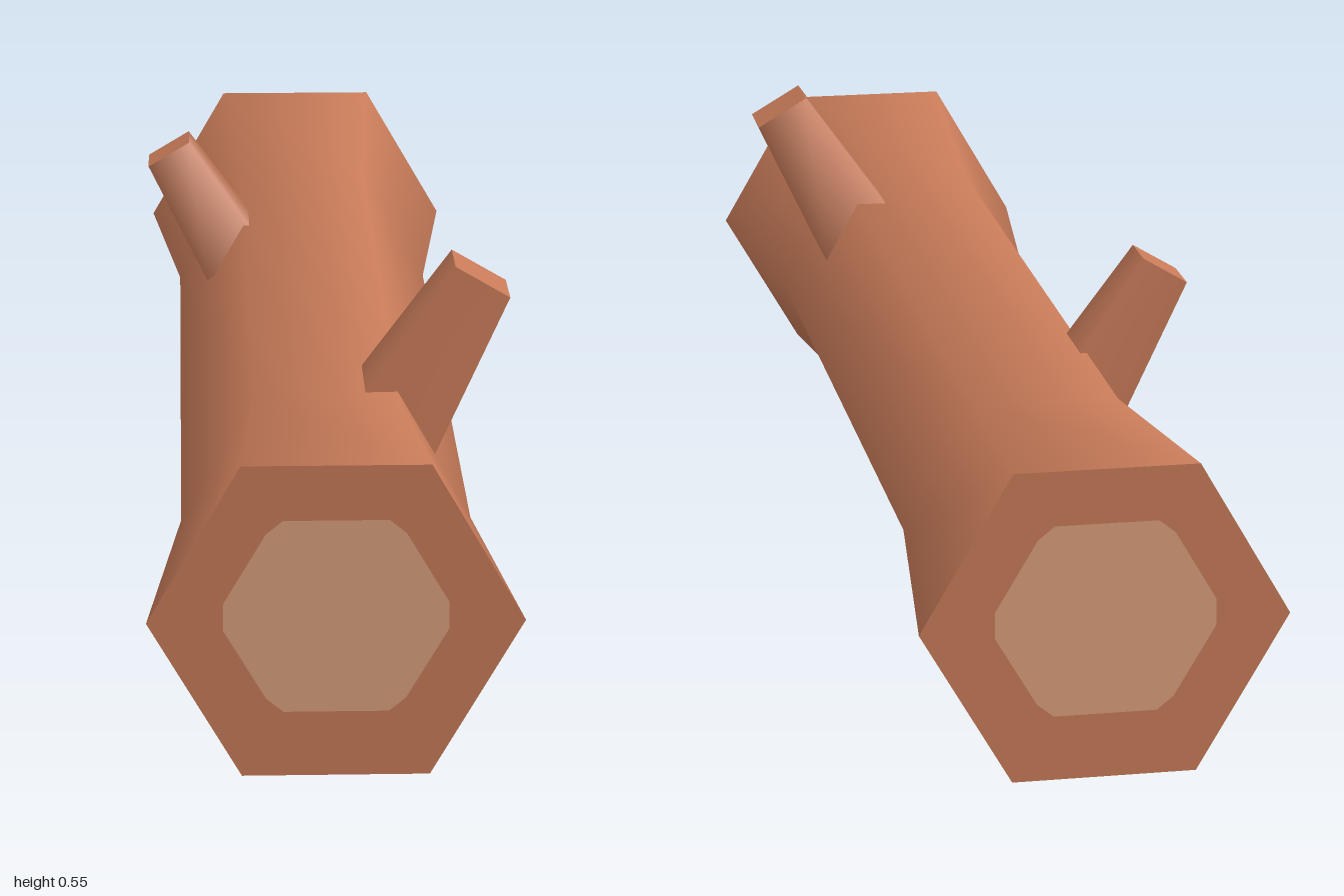
import * as THREE from 'three';

export function createModel() {
  const group = new THREE.Group();
  const bark = new THREE.MeshStandardMaterial({ color: 0xc67a58 });
  bark.name = 'bark';
  const heartwood = new THREE.MeshStandardMaterial({ color: 0xd89e7c });
  heartwood.name = 'heartwood';
  const cx = -0.005, cy = 0.212, endRadius = 0.2435, midRadius = 0.198;

  const add = (name, geometry, material, x, y, z) => {
    const mesh = new THREE.Mesh(geometry, material);
    mesh.name = name;
    mesh.position.set(x, y, z);
    group.add(mesh);
    return mesh;
  };

  // Six-sided trunk, flared towards both ends
  const profile = [[endRadius, -1], [midRadius, -0.6], [midRadius, 0.6], [endRadius, 1]]
    .map(([r, y]) => new THREE.Vector2(r, y));
  const trunk = new THREE.LatheGeometry(profile, 6, Math.PI / 2);
  trunk.rotateX(Math.PI / 2);
  add('trunk', trunk, bark, cx, cy, 0);

  // Pale heartwood: a hexagon with cut corners
  const quarter = [[0.145, 0.018], [0.09, 0.112], [0.068, 0.13]];
  const mirrored = quarter.map(([x, y]) => [-x, y]).reverse();
  const upper = [...quarter, ...mirrored];
  const outline = [...upper, ...upper.map(([x, y]) => [-x, -y])];
  const heartShape = new THREE.Shape(outline.map(([x, y]) => new THREE.Vector2(x, y)));

  // Sawn faces at both ends
  for (const [side, z] of [['front', 1], ['back', -1]]) {
    const cap = add(side + 'CutFace', new THREE.CircleGeometry(endRadius, 6), bark, cx, cy, z);
    const heart = add(side + 'Heartwood', new THREE.ShapeGeometry(heartShape), heartwood,
      cx, cy + 0.008, z * 1.002);
    if (z < 0) cap.rotation.y = heart.rotation.y = Math.PI;
  }

  // Tapered square branch stubs, leaning outwards
  const addBranch = (name, base, tip, baseHalf, tipHalf) => {
    const axis = tip.clone().sub(base);
    const geometry = new THREE.CylinderGeometry(
      tipHalf * Math.SQRT2, baseHalf * Math.SQRT2, axis.length(), 4);
    geometry.rotateY(Math.PI / 4);
    const middle = base.clone().add(tip).multiplyScalar(0.5);
    const mesh = add(name, geometry, bark, middle.x, middle.y, middle.z);
    mesh.rotation.z = -Math.atan2(axis.x, axis.y);
  };
  addBranch('leftBranch', new THREE.Vector3(0.089, 0.327, 0.508),
    new THREE.Vector3(0.21, 0.533, 0.508), 0.065, 0.0435);
  addBranch('rightBranch', new THREE.Vector3(-0.116, 0.324, -0.34),
    new THREE.Vector3(-0.2185, 0.495, -0.34), 0.052, 0.0365);

  return group;
}
